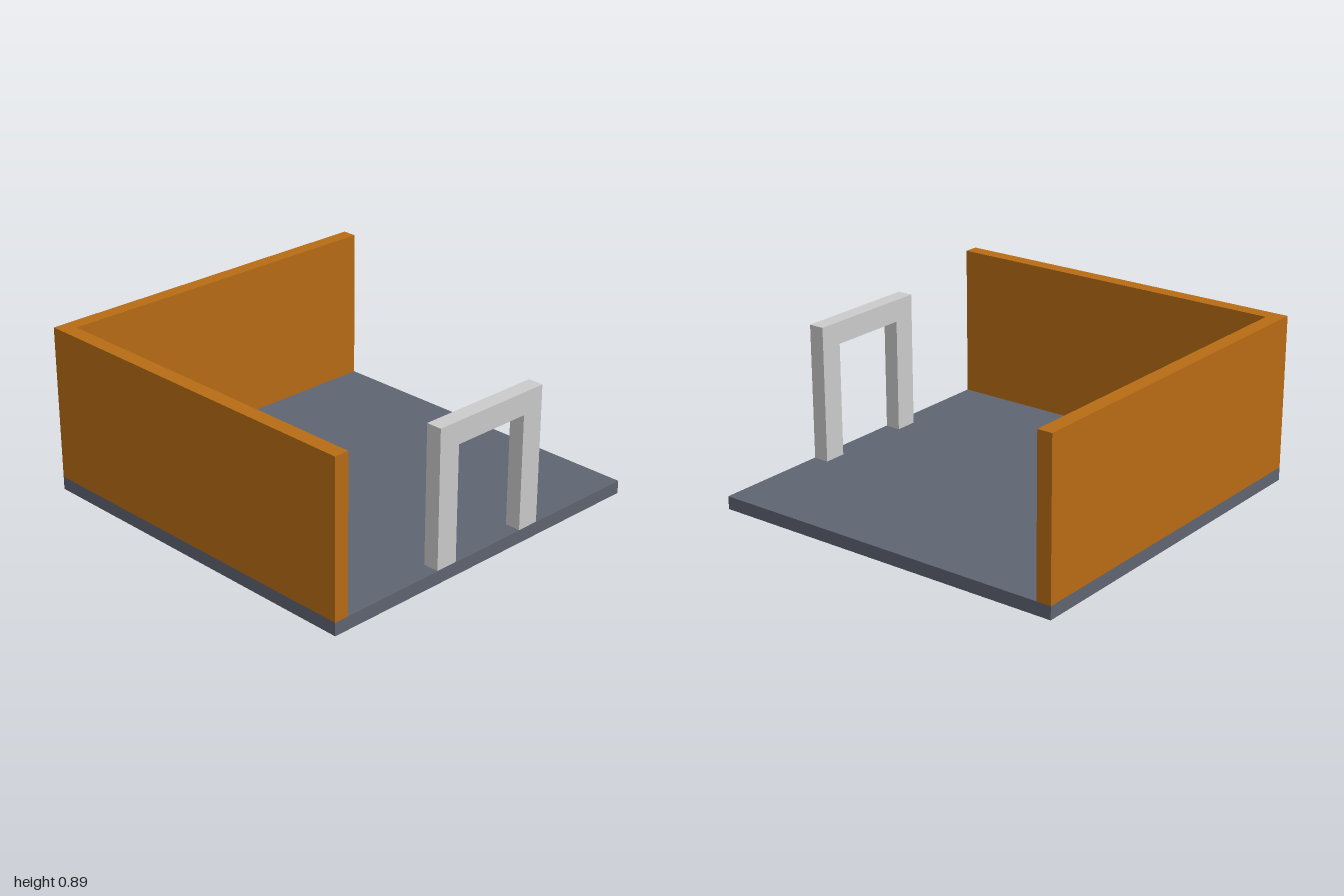
import * as THREE from 'three';

const FLOOR_TOP = 0.07;
const WALL_TOP = 0.895;
const WALL = 0.08;

export function createModel() {
  const group = new THREE.Group();
  const slate = new THREE.MeshStandardMaterial({ color: 0x5f6472 });
  const orange = new THREE.MeshStandardMaterial({ color: 0xb86c14 });
  const grey = new THREE.MeshStandardMaterial({ color: 0xcccccc });

  const add = (name, geometry, material) => {
    const mesh = new THREE.Mesh(geometry, material);
    mesh.name = name;
    group.add(mesh);
    return mesh;
  };

  // Box given by its lower and upper corners
  const addBox = (name, material, [x0, y0, z0], [x1, y1, z1]) => {
    const mesh = add(name, new THREE.BoxGeometry(x1 - x0, y1 - y0, z1 - z0), material);
    mesh.position.set((x0 + x1) / 2, (y0 + y1) / 2, (z0 + z1) / 2);
  };

  // Floor slab and the two walls meeting at the back corner
  addBox('floor', slate, [-1, 0, -1], [1, FLOOR_TOP, 1]);
  addBox('sideWall', orange, [-1, FLOOR_TOP, -1], [-1 + WALL, WALL_TOP, 1]);
  addBox('backWall', orange, [-1 + WALL, FLOOR_TOP, -1], [1, WALL_TOP, -1 + WALL]);

  // Free-standing door frame: two posts and a lintel in one outline
  const outline = [
    [-0.335, FLOOR_TOP], [-0.21, FLOOR_TOP], [-0.21, 0.685], [0.24, 0.685],
    [0.24, FLOOR_TOP], [0.365, FLOOR_TOP], [0.365, 0.805], [-0.335, 0.805],
  ];
  const shape = new THREE.Shape(outline.map(([x, y]) => new THREE.Vector2(x, y)));
  const frame = new THREE.ExtrudeGeometry(shape, { depth: 0.085, bevelEnabled: false });
  add('doorFrame', frame, grey).position.z = 0.912;

  return group;
}
